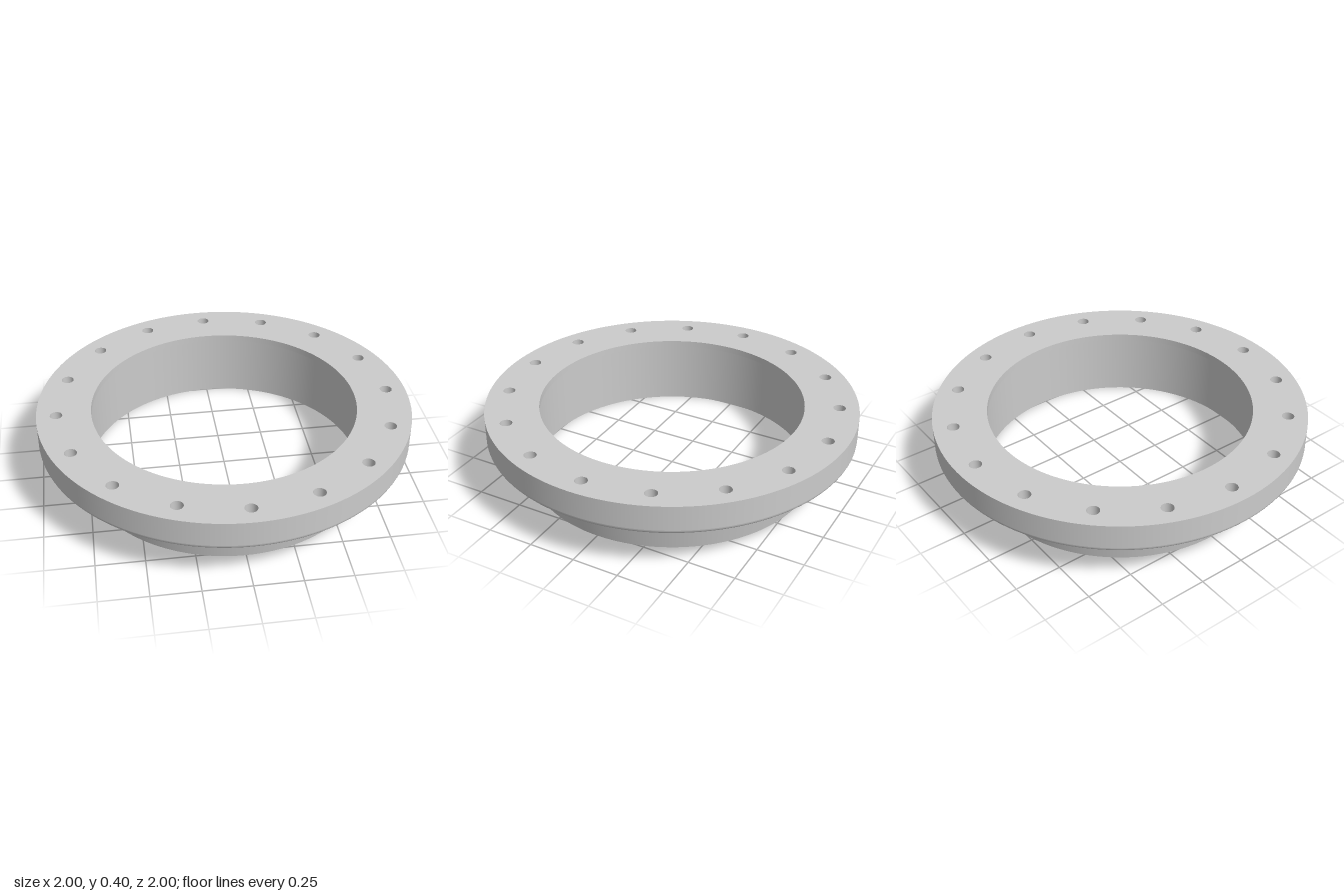
import * as THREE from 'three';

const SEG = 128, HOLES = 16, HOLE_CIRCLE = 0.895;
const TOP = 0.4, UNDER = 0.24, LIP = 0.365;
const material = new THREE.MeshStandardMaterial({ color: 0xcccccc });

// Smooth turned surface; separate calls keep the edges between them sharp.
function turned(name, points, segments = SEG) {
  const profile = points.map(([r, y]) => new THREE.Vector2(r, y));
  const mesh = new THREE.Mesh(new THREE.LatheGeometry(profile, segments), material);
  mesh.name = name;
  return mesh;
}

function circle(radius, segments, x = 0, y = 0) {
  return Array.from({ length: segments }, (_, i) => {
    const a = (i / segments) * Math.PI * 2;
    return new THREE.Vector2(x + radius * Math.cos(a), y + radius * Math.sin(a));
  });
}

// Flat ring pierced by the bolt circle, facing up or down.
function ringFace(name, outer, inner, holeRadius, y, up) {
  const shape = new THREE.Shape(circle(outer, SEG));
  shape.holes.push(new THREE.Path(circle(inner, SEG)));
  for (let i = 0; i < HOLES; i++) {
    const a = (i / HOLES) * Math.PI * 2;
    const centre = [HOLE_CIRCLE * Math.cos(a), HOLE_CIRCLE * Math.sin(a)];
    shape.holes.push(new THREE.Path(circle(holeRadius, 24, ...centre)));
  }
  const geometry = new THREE.ShapeGeometry(shape);
  geometry.rotateX(up ? -Math.PI / 2 : Math.PI / 2);
  geometry.translate(0, y, 0);
  const mesh = new THREE.Mesh(geometry, material);
  mesh.name = name;
  return mesh;
}

export function createModel() {
  const model = new THREE.Group();
  model.name = 'boltedFlange';

  // Flange: rounded lower edge, straight side, drilled faces
  const round = 0.025, edge = [];
  for (let i = 0; i <= 6; i++) {
    const a = (i / 6) * Math.PI / 2;
    edge.push([1 - round + round * Math.sin(a), UNDER + round - round * Math.cos(a)]);
  }
  const flange = new THREE.Group();
  flange.name = 'flange';
  flange.add(
    turned('flangeRoundedEdge', edge),
    turned('flangeSide', [[1, UNDER + round], [1, TOP]]),
    ringFace('flangeTop', 1, 0.711, 0.033, TOP, true),
    ringFace('flangeUnderside', 1 - round, 0.82, 0.055, UNDER, false)
  );
  model.add(flange);

  // Tapered neck and its bottom rim
  model.add(
    turned('neck', [[0.78, 0], [0.82, UNDER]]),
    turned('neckRim', [[0.748, 0], [0.78, 0]])
  );

  // Bore with a narrower lip at the top
  model.add(
    turned('boreLip', [[0.711, TOP], [0.711, LIP]]),
    turned('boreStep', [[0.711, LIP], [0.748, LIP]]),
    turned('boreWall', [[0.748, LIP], [0.748, 0]])
  );

  // Bolt holes, counterbored from below
  for (let i = 0; i < HOLES; i++) {
    const a = (i / HOLES) * Math.PI * 2;
    const hole = new THREE.Group();
    hole.name = 'boltHole';
    hole.add(
      turned('holeWall', [[0.033, TOP], [0.033, 0.32]], 24),
      turned('counterboreFloor', [[0.033, 0.32], [0.055, 0.32]], 24),
      turned('counterboreWall', [[0.055, 0.32], [0.055, UNDER]], 24)
    );
    hole.position.set(HOLE_CIRCLE * Math.cos(a), 0, HOLE_CIRCLE * Math.sin(a));
    model.add(hole);
  }
  return model;
}
